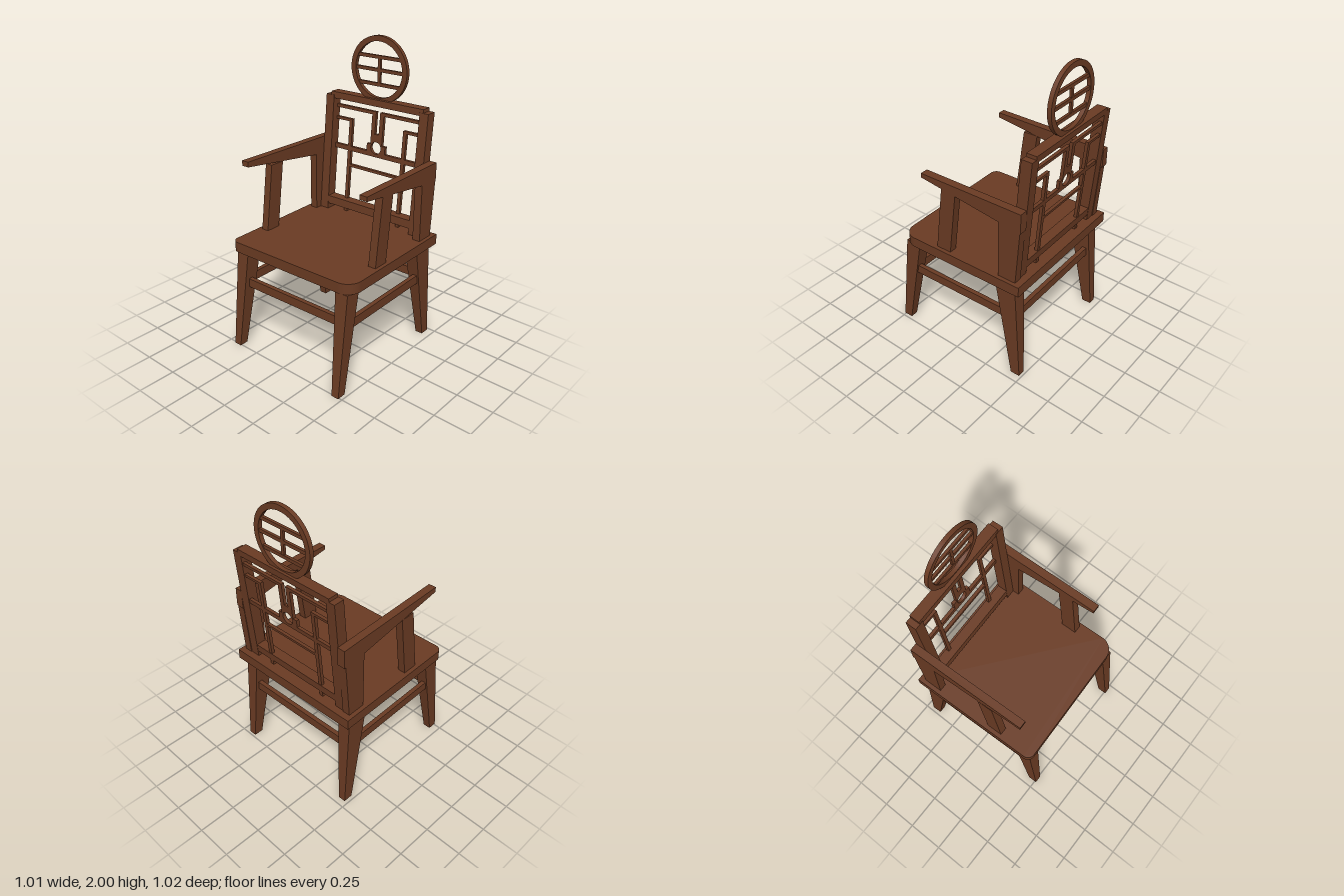
import * as THREE from 'three';

export function createModel() {
  const model = new THREE.Group();
  model.name = 'armchair';
  const wood = new THREE.MeshStandardMaterial({ color: 0x6a3b23 });
  wood.name = 'brown wood';

  const add = (name, geometry, parent = model) => {
    const mesh = new THREE.Mesh(geometry, wood);
    mesh.name = name;
    parent.add(mesh);
    return mesh;
  };
  const group = (name) => {
    const g = new THREE.Group();
    g.name = name;
    model.add(g);
    return g;
  };

  // Box given by its limits
  const block = (x0, x1, y0, y1, z0, z1) =>
    new THREE.BoxGeometry(x1 - x0, y1 - y0, z1 - z0).translate((x0 + x1) / 2, (y0 + y1) / 2, (z0 + z1) / 2);

  // Tapered block between two rectangles [x0, x1, z0, z1]
  const taper = (bottom, top, y0, y1) => {
    const g = new THREE.BoxGeometry(1, 1, 1);
    const p = g.attributes.position;
    for (let i = 0; i < p.count; i++) {
      const up = p.getY(i) > 0;
      const r = up ? top : bottom;
      p.setXYZ(i, p.getX(i) > 0 ? r[1] : r[0], up ? y1 : y0, p.getZ(i) > 0 ? r[3] : r[2]);
    }
    g.computeVertexNormals();
    return g;
  };

  // Side outline given as [z, y], extruded across x
  const sideProfile = (points, x0, x1) => {
    const s = new THREE.Shape(points.map(([z, y]) => new THREE.Vector2(z, y)));
    return new THREE.ExtrudeGeometry(s, { depth: x1 - x0, bevelEnabled: false })
      .rotateY(-Math.PI / 2).translate(x1, 0, 0);
  };

  // Makes an upright part lean back; z = 0 is the rear plane of the back
  const lean = (g) => {
    const p = g.attributes.position;
    for (let i = 0; i < p.count; i++) {
      p.setZ(i, p.getZ(i) - 0.427 - (p.getY(i) - 0.75) * 0.087);
    }
    g.computeVertexNormals();
    return g;
  };

  // Seat with rounded front corners
  const seat = new THREE.Shape();
  seat.moveTo(-0.49, 0.475);
  seat.lineTo(-0.49, -0.4);
  seat.absarc(-0.44, -0.397, 0.05, Math.PI, Math.PI * 1.5, false);
  seat.absarc(0.39, -0.347, 0.1, -Math.PI / 2, 0, false);
  seat.lineTo(0.49, 0.475);
  add('seat', new THREE.ExtrudeGeometry(seat, { depth: 0.07, bevelEnabled: false, curveSegments: 16 })
    .rotateX(-Math.PI / 2).translate(0, 0.68, 0));

  // Legs, splayed and tapering on the inner side
  const legs = group('legs');
  const legSides = [
    { s: -1, foot: [0.435, 0.497], head: [0.31, 0.425] },
    { s: 1, foot: [0.462, 0.524], head: [0.33, 0.44] },
  ];
  for (const { s, foot, head } of legSides) {
    const span = (inner) => (s > 0 ? [inner, 0.462] : [-0.462, -inner]);
    add('frontLeg', taper([...span(0.41), ...foot], [...span(0.37), ...head], 0, 0.68), legs);
    add('rearLeg', taper([...span(0.41), -0.47, -0.405], [...span(0.37), -0.43, -0.285], 0, 0.68), legs);
  }

  // Stretchers between the legs
  const stretchers = group('stretchers');
  add('frontStretcher', block(-0.4, 0.4, 0.43, 0.49, 0.385, 0.415), stretchers);
  add('rearStretcher', block(-0.4, 0.4, 0.43, 0.49, -0.42, -0.39), stretchers);
  for (const s of [-1, 1]) {
    add('sideStretcher', block(s * 0.435 - 0.015, s * 0.435 + 0.015, 0.43, 0.49, -0.38, 0.4), stretchers);
  }

  // Arms with their front posts and rear supports
  const armSides = [
    { x: [-0.462, -0.41], post: 0.195, arm: [[0.348, 1.245], [0.348, 1.28], [-0.475, 1.265], [-0.475, 1.14], [-0.32, 1.15]] },
    { x: [0.41, 0.464], post: 0.173, arm: [[0.272, 1.22], [0.272, 1.25], [-0.467, 1.25], [-0.467, 1.12], [-0.302, 1.14]] },
  ];
  for (const { x, post, arm } of armSides) {
    const g = group('arm');
    add('armRest', sideProfile([...arm].reverse(), ...x), g);
    add('armPost', taper([...x, post - 0.107, post], [...x, post - 0.165, post - 0.058], 0.75, 1.2), g);
    add('rearArmSupport', sideProfile([[-0.432, 0.75], [-0.308, 0.75], [-0.308, 1.16], [-0.465, 1.16]], ...x), g);
  }

  // Back frame
  const back = group('back');
  for (const s of [-1, 1]) {
    add('backPost', lean(block(s * 0.3775 - 0.0325, s * 0.3775 + 0.0325, 0.75, 1.565, 0, 0.073)), back);
  }
  add('topRail', lean(block(-0.37, 0.37, 1.544, 1.588, 0, 0.07)), back);
  add('bottomRail', lean(block(-0.346, 0.346, 0.79, 0.845, 0.002, 0.072)), back);

  // Lattice in the back, mirrored about the middle
  const lattice = (name, x0, x1, y0, y1) =>
    add(name, lean(block(x0, x1, y0, y1, 0.006, 0.028)), back);
  for (const s of [-1, 1]) {
    const bar = (name, a, b, y0, y1) =>
      lattice(name, Math.min(s * a, s * b), Math.max(s * a, s * b), y0, y1);
    bar('latticeUpperBar', 0.016, 0.35, 1.475, 1.496);
    bar('latticeInnerUpright', 0.016, 0.047, 1.34, 1.475);
    bar('latticeSideBar', 0.207, 0.35, 1.393, 1.411);
    bar('latticeUpright', 0.207, 0.233, 0.75, 1.393);
    bar('latticeMiddleBar', 0.07, 0.35, 1.19, 1.221);
  }
  lattice('latticeLowerBar', -0.207, 0.207, 1.077, 1.095);

  // Stepped centre block with a round hole
  const centre = new THREE.Shape([
    [-0.075, 1.19], [0.075, 1.19], [0.075, 1.273], [0.047, 1.273],
    [0.047, 1.345], [-0.047, 1.345], [-0.047, 1.273], [-0.075, 1.273],
  ].map(([x, y]) => new THREE.Vector2(x, y)));
  centre.holes.push(new THREE.Path().absarc(0, 1.252, 0.041, 0, Math.PI * 2, true));
  add('latticeCentre', lean(new THREE.ExtrudeGeometry(centre, { depth: 0.022, bevelEnabled: false, curveSegments: 24 })
    .translate(0, 0, 0.006)), back);

  // Round crest above the back, with its bars
  const crest = group('crest');
  const ring = new THREE.Shape().absarc(0, 1.78, 0.22, 0, Math.PI * 2, false);
  ring.holes.push(new THREE.Path().absarc(0, 1.78, 0.184, 0, Math.PI * 2, true));
  add('crestRing', new THREE.ExtrudeGeometry(ring, { depth: 0.028, bevelEnabled: false, curveSegments: 48 })
    .translate(0, 0, -0.482), crest);
  for (const y of [1.862, 1.777, 1.682]) {
    const half = Math.sqrt(0.19 ** 2 - (y - 1.78) ** 2);
    add('crestBar', block(-half, half, y - 0.011, y + 0.011, -0.477, -0.459), crest);
  }
  add('crestUpright', block(-0.011, 0.011, 1.69, 1.855, -0.476, -0.46), crest);

  // The whole chair is turned slightly
  model.rotation.y = 0.031;
  return model;
}
